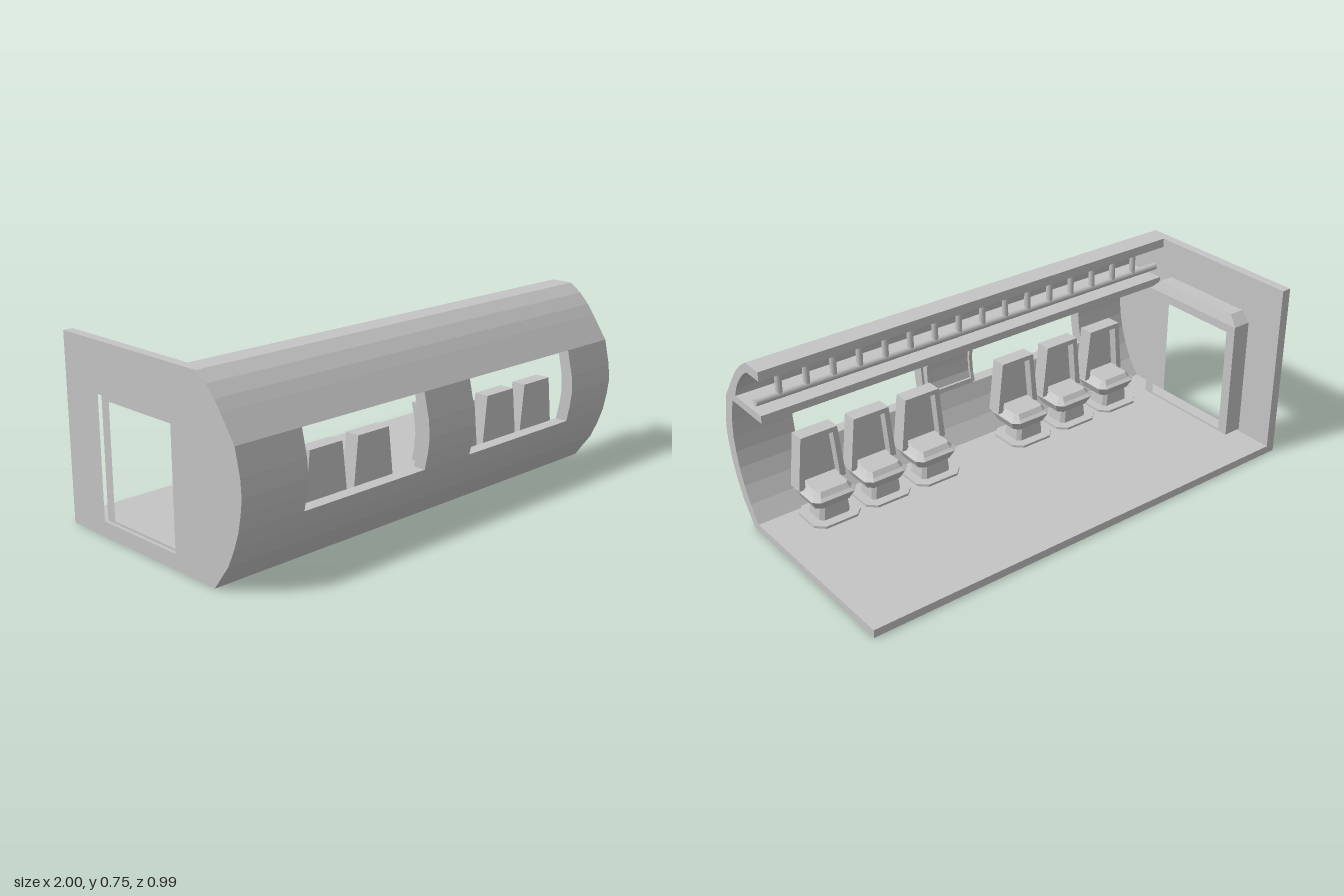
import * as THREE from 'three';

const grey = new THREE.MeshStandardMaterial({ color: 0xc4c4c4 });
grey.name = 'light grey';

function add(parent, name, geometry, x = 0, y = 0, z = 0) {
  const mesh = new THREE.Mesh(geometry, grey);
  mesh.name = name;
  mesh.position.set(x, y, z);
  parent.add(mesh);
  return mesh;
}

// Extrudes a [z, y] outline along x, with optional [z, y] holes
function section(points, x0, x1, holes = []) {
  const flip = (pts) => pts.map(([z, y]) => new THREE.Vector2(-z, y));
  const shape = new THREE.Shape(flip(points));
  holes.forEach((h) => shape.holes.push(new THREE.Path(flip(h))));
  const g = new THREE.ExtrudeGeometry(shape, { depth: x1 - x0, bevelEnabled: false });
  return g.rotateY(Math.PI / 2).translate(x0, 0, 0);
}

// Extrudes an [x, y] outline towards +z
function plate(points, depth, hole) {
  const vec = (pts) => pts.map(([x, y]) => new THREE.Vector2(x, y));
  const shape = new THREE.Shape(vec(points));
  if (hole) shape.holes.push(new THREE.Path(vec(hole)));
  return new THREE.ExtrudeGeometry(shape, { depth, bevelEnabled: false });
}

const rect = (a0, a1, b0, b1) => [[a0, b0], [a1, b0], [a1, b1], [a0, b1]];

// Horizontal rectangle with cut corners, counter-clockwise from above
function ring(x0, x1, z0, z1, y, c = 0.001) {
  return [
    [x1 - c, y, z1], [x1, y, z1 - c], [x1, y, z0 + c], [x1 - c, y, z0],
    [x0 + c, y, z0], [x0, y, z0 + c], [x0, y, z1 - c], [x0 + c, y, z1],
  ];
}

// Faceted solid through a stack of rings, capped at both ends
function loft(rings) {
  const pos = [];
  const tri = (a, b, c) => pos.push(...a, ...b, ...c);
  const n = rings[0].length;
  for (let k = 0; k < rings.length - 1; k++) {
    const lo = rings[k], hi = rings[k + 1];
    for (let i = 0; i < n; i++) {
      const j = (i + 1) % n;
      tri(lo[i], lo[j], hi[j]);
      tri(lo[i], hi[j], hi[i]);
    }
  }
  const bottom = rings[0], top = rings[rings.length - 1];
  for (let i = 1; i < n - 1; i++) {
    tri(bottom[0], bottom[i + 1], bottom[i]);
    tri(top[0], top[i], top[i + 1]);
  }
  const g = new THREE.BufferGeometry();
  g.setAttribute('position', new THREE.Float32BufferAttribute(pos, 3));
  g.computeVertexNormals();
  return g;
}

// Hull outline, outside and inside, from floor to ceiling
const outerLow = [[0.367, 0.033], [0.417, 0.1], [0.449, 0.167], [0.474, 0.235]];
const outerMid = [[0.474, 0.235], [0.488, 0.3], [0.496, 0.36], [0.491, 0.43], [0.467, 0.533]];
const outerTop = [[0.467, 0.533], [0.4, 0.63], [0.37, 0.67], [0.328, 0.713], [0.278, 0.748]];
const innerLow = [[0.31, 0.033], [0.36, 0.1], [0.395, 0.167], [0.42, 0.235]];
const innerMid = [[0.42, 0.235], [0.435, 0.3], [0.443, 0.36], [0.44, 0.43], [0.417, 0.533]];
const innerTop = [
  [0.185, 0.748], [0.185, 0.71], [0.275, 0.71], [0.31, 0.685], [0.35, 0.64],
  [0.375, 0.6], [0.385, 0.565], [0.195, 0.565], [0.195, 0.533],
];

function buildSeat() {
  const seat = new THREE.Group();
  seat.name = 'seat';
  add(seat, 'seatBase', loft([
    ring(-0.105, 0.105, 0.125, 0.31, 0.033, 0.035),
    ring(-0.105, 0.105, 0.125, 0.31, 0.043, 0.035),
  ]));
  add(seat, 'seatPedestal', loft([
    ring(-0.068, 0.068, 0.165, 0.27, 0.043, 0.015),
    ring(-0.062, 0.062, 0.167, 0.268, 0.1, 0.015),
  ]));
  add(seat, 'seatCushion', loft([
    ring(-0.08, 0.08, 0.165, 0.31, 0.1, 0.02),
    ring(-0.1, 0.1, 0.145, 0.325, 0.14, 0.025),
    ring(-0.085, 0.085, 0.16, 0.3, 0.149, 0.02),
    ring(-0.07, 0.07, 0.175, 0.262, 0.168, 0.012),
  ]));
  // Tapered back shell with a raised rim around a recessed panel
  const outline = [[-0.105, 0.148], [0.105, 0.148], [0.08, 0.375], [-0.08, 0.375]];
  const opening = [[-0.078, 0.165], [0.078, 0.165], [0.06, 0.355], [-0.06, 0.355]];
  add(seat, 'seatBackRim', plate(outline, 0.036, opening), 0, 0, 0.254);
  add(seat, 'seatBackShell', plate(outline, 0.028), 0, 0, 0.29);
  return seat;
}

export function createModel() {
  const model = new THREE.Group();
  model.name = 'cabinSection';

  // Floor and curved hull, leaving two window openings
  add(model, 'floor', section([[-0.495, 0], [0.343, 0], [0.367, 0.033], [-0.495, 0.033]], -0.96, 1));
  add(model, 'lowerHull', section([...outerLow, ...[...innerLow].reverse()], -0.96, 1));
  for (const [x0, x1] of [[-0.96, -0.71], [-0.11, 0.14], [0.745, 1]]) {
    add(model, 'windowPillar', section([...outerMid, ...[...innerMid].reverse()], x0, x1));
  }
  add(model, 'upperHullAndShelf', section([...outerTop, ...innerTop], -0.96, 1));

  // End wall with doorway
  const wall = [[-0.495, 0], [0.343, 0], ...outerLow, ...outerMid.slice(1), ...outerTop.slice(1), [-0.495, 0.748]];
  add(model, 'endWall', section(wall, -1, -0.96, [rect(-0.295, 0.13, 0.033, 0.548)]));
  add(model, 'doorFrame', section(rect(-0.332, 0.165, 0.043, 0.548), -0.96, -0.88,
    [rect(-0.288, 0.12, 0.052, 0.512)]));
  add(model, 'doorFrameCap', loft([
    ring(-0.96, -0.88, -0.332, 0.165, 0.548),
    ring(-0.96, -0.892, -0.292, 0.125, 0.59),
  ]));

  // Six seats in two rows of three
  for (const x of [-0.7, -0.46, -0.22, 0.265, 0.505, 0.74]) {
    const seat = buildSeat();
    seat.position.x = x;
    model.add(seat);
  }

  // Luggage rail on hanging posts
  add(model, 'luggageRail', new THREE.CylinderGeometry(0.015, 0.015, 1.96, 12).rotateZ(Math.PI / 2), 0.02, 0.605, 0.232);
  const post = new THREE.CylinderGeometry(0.013, 0.013, 0.11, 12);
  for (let i = 0; i < 16; i++) add(model, 'railPost', post, 0.9 - i * 0.115, 0.655, 0.232);

  // Shallow frames under the shelf
  for (const [x0, x1] of [[-0.94, -0.715], [-0.685, -0.13], [-0.1, 0.135], [0.165, 0.72], [0.75, 0.97]]) {
    const frame = plate(rect(x0, x1, 0.255, 0.35), 0.007, rect(x0 + 0.015, x1 - 0.015, 0.27, 0.335));
    add(model, 'lightFrame', frame.rotateX(Math.PI / 2), 0, 0.534, 0);
  }

  // Curved panel between the windows, with raised edges
  const panel = (inset, top, low) => [
    [0.395 + inset, top], [0.407 + inset, 0.43], [0.415 + inset, 0.36], [0.41 + inset, 0.3], [0.398 + inset, low],
    [0.425, low], [0.437, 0.3], [0.445, 0.36], [0.442, 0.43], [0.426, top],
  ];
  add(model, 'wallPanel', section(panel(0.012, 0.465, 0.265), -0.085, 0.115));
  for (const x of [-0.1, 0.115]) add(model, 'wallPanelEdge', section(panel(0, 0.477, 0.253), x, x + 0.015));
  add(model, 'wallPanelTop', section([[0.395, 0.477], [0.398, 0.46], [0.43, 0.46], [0.426, 0.477]], -0.085, 0.115));
  add(model, 'wallPanelBottom', section([[0.398, 0.253], [0.401, 0.27], [0.43, 0.27], [0.425, 0.253]], -0.085, 0.115));

  return model;
}
